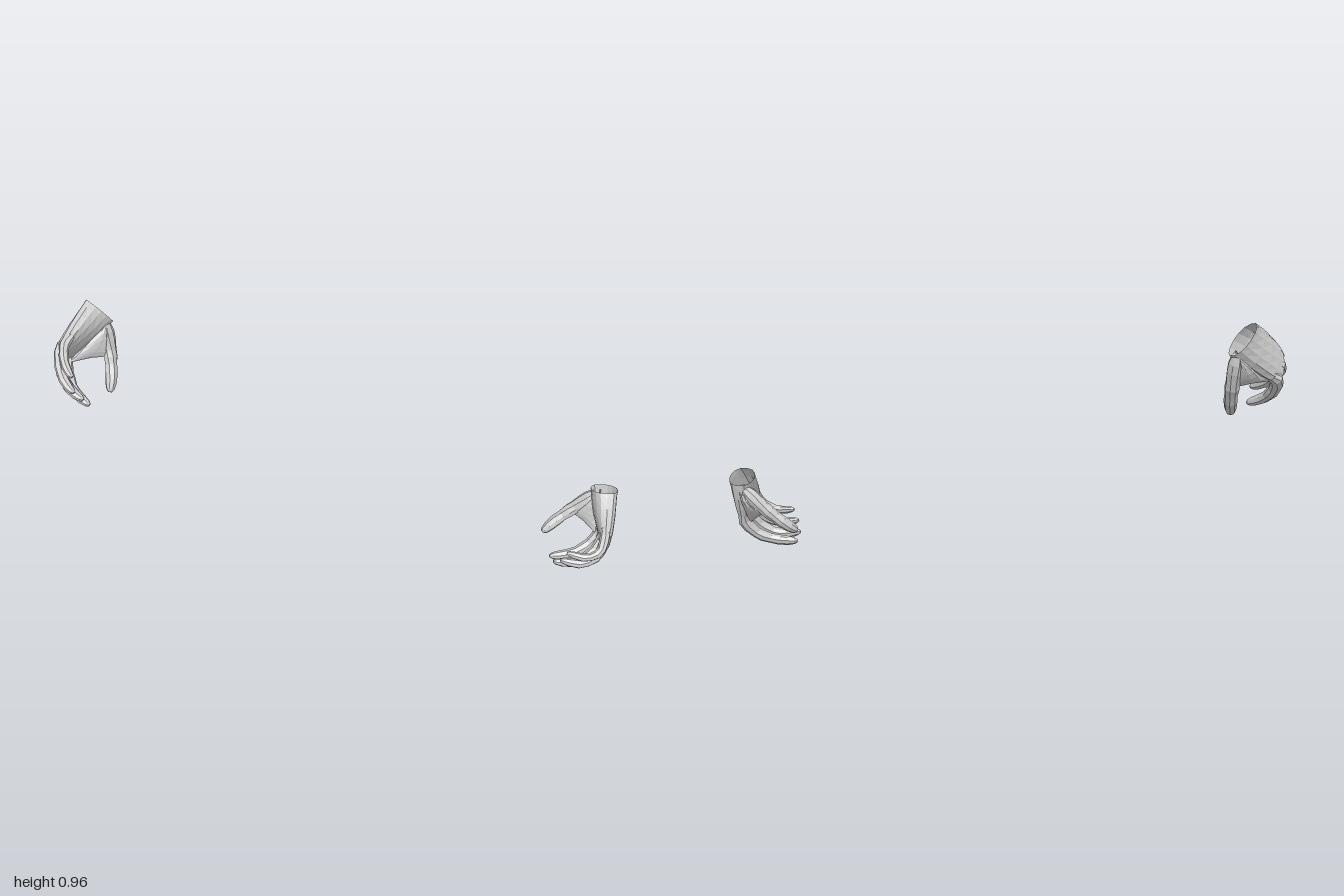
import * as THREE from 'three';

const V = (p) => new THREE.Vector3(...p);
const lerp = (a, b, t) => a.clone().lerp(b, t);
const material = new THREE.MeshStandardMaterial({ color: 0xcccccc, flatShading: true, side: THREE.DoubleSide });

// Skin a surface over rings of equal point count and close the last ring
function skin(name, rings) {
  const n = rings[0].length, pos = [], index = [];
  const last = rings[rings.length - 1];
  const c = last.reduce((s, p) => s.add(p), new THREE.Vector3()).divideScalar(n);
  const all = [...rings, last.map(() => c)];
  all.forEach((r) => r.forEach((p) => pos.push(p.x, p.y, p.z)));
  for (let i = 0; i < all.length - 1; i++) {
    for (let j = 0; j < n; j++) {
      const a = i * n + j, b = i * n + (j + 1) % n;
      index.push(a, b, a + n, b, b + n, a + n);
    }
  }
  const g = new THREE.BufferGeometry();
  g.setAttribute('position', new THREE.Float32BufferAttribute(pos, 3));
  g.setIndex(index);
  g.computeVertexNormals();
  const mesh = new THREE.Mesh(g, material);
  mesh.name = name;
  return mesh;
}

// Oval ring spanning two edge points, arched in its middle by a bulge vector
function oval(a, b, normal, thick, bulge, sides = 14) {
  const c = lerp(a, b, 0.5), w = b.clone().sub(c), ring = [];
  for (let j = 0; j < sides; j++) {
    const t = (j / sides) * Math.PI * 2, u = Math.cos(t), s = Math.sin(t);
    ring.push(c.clone().addScaledVector(w, u)
      .addScaledVector(normal, thick * Math.sign(s) * Math.abs(s) ** 0.8)
      .addScaledVector(bulge, 1 - u * u));
  }
  return ring;
}

// Jointed, tapering digit along a smooth path
const TAPER = [[0, 0.8], [0.12, 1.08], [0.24, 1.08], [0.38, 0.96], [0.48, 1.02], [0.6, 0.88], [0.72, 0.92], [0.86, 0.82], [0.95, 0.6], [0.99, 0.28]];
function digit(name, points, radius, side) {
  const curve = new THREE.CatmullRomCurve3(points, false, 'centripetal');
  const rings = TAPER.map(([t, k]) => {
    const c = curve.getPointAt(t), tan = curve.getTangentAt(t);
    const n = new THREE.Vector3().crossVectors(tan, side).normalize();
    const w = new THREE.Vector3().crossVectors(n, tan).normalize().multiplyScalar(radius * k);
    return oval(c.clone().sub(w), c.clone().add(w), n, radius * k, new THREE.Vector3(), 8);
  });
  return skin(name, rings);
}

function buildHand(name, pose) {
  const hand = new THREE.Group();
  hand.name = name;
  const [wristLittle, wristIndex] = pose.wrist.map(V);
  const fingers = pose.fingers.map((f) => f.map(V)); // index to little
  const thumb = pose.thumb.map(V);
  const [kI, kM, kR, kL] = fingers.map((f) => f[0]);
  const [rI, rM, rR, rL] = fingers.map((f) => lerp(f[0], f[1], 0.3));
  const across = kL.clone().sub(kI).normalize();
  const along = lerp(kI, kL, 0.5).sub(lerp(wristLittle, wristIndex, 0.5)).normalize();
  const normal = new THREE.Vector3().crossVectors(along, across).normalize();
  const archOf = (i, m, r, l) => lerp(m, r, 0.5).sub(lerp(i, l, 0.5));

  // Palm, open at the wrist and arched at the knuckles
  const edgeI = kI.clone().addScaledVector(across, -0.016);
  const edgeL = kL.clone().addScaledVector(across, 0.014);
  const arch = archOf(kI, kM, kR, kL);
  const palm = [[0, 1], [0.12, 0.93], [0.35, 0.87], [0.6, 0.78], [0.82, 0.64], [1, 0.5]].map(([t, k]) => {
    const swell = 0.007 * Math.sin(Math.PI * t);
    const a = lerp(wristIndex, edgeI, t).addScaledVector(across, -swell);
    const b = lerp(wristLittle, edgeL, t).addScaledVector(across, swell);
    return oval(a, b, normal, pose.thickness * k, arch.clone().multiplyScalar(t * t));
  });
  // Flesh between the finger roots
  palm.push(oval(rI, rL, normal, pose.thickness * 0.27, archOf(rI, rM, rR, rL)));
  hand.add(skin('palm', palm));

  // Fingers, rooted inside the palm
  const names = ['indexFinger', 'middleFinger', 'ringFinger', 'littleFinger'];
  const radii = [0.0205, 0.0205, 0.019, 0.0165];
  fingers.forEach((f, i) => {
    const root = f[0].clone().addScaledVector(along, -0.035);
    hand.add(digit(names[i], [root, ...f], radii[i], across));
  });

  hand.add(digit('thumb', thumb, 0.0245, normal));

  // Flesh at the thumb's base, thinning to a web beside the index finger
  const curve = new THREE.CatmullRomCurve3(thumb.slice(0, 3));
  const web = [[0.1, 0.026], [0.3, 0.032], [0.5, 0.03], [0.7, 0.024], [0.87, 0.017], [1, 0.008]].map(([t, thick]) => {
    const a = curve.getPoint(t * 0.64);
    const b = lerp(wristIndex, rI, t).addScaledVector(across, 0.012);
    const flat = new THREE.Vector3().crossVectors(b.clone().sub(a), along).normalize();
    return oval(a, b, flat, thick, along.clone().multiplyScalar(-0.016 * t * t), 12);
  });
  hand.add(skin('thumbWeb', web));
  return hand;
}

// Joint positions: wrist edges (little side, index side), fingers knuckle to tip
const rightPose = {
  thickness: 0.042,
  wrist: [[-0.885, 0.958, -0.092], [-0.845, 0.865, -0.147]],
  fingers: [
    [[-0.975, 0.768, -0.028], [-0.958, 0.713, 0.026], [-0.925, 0.68, 0.066], [-0.875, 0.655, 0.093]],
    [[-0.98, 0.808, 0.005], [-0.965, 0.762, 0.065], [-0.928, 0.725, 0.108], [-0.88, 0.703, 0.132]],
    [[-0.97, 0.842, 0.028], [-0.96, 0.8, 0.088], [-0.935, 0.768, 0.13], [-0.9, 0.745, 0.155]],
    [[-0.948, 0.87, 0.04], [-0.945, 0.842, 0.08], [-0.93, 0.818, 0.112], [-0.905, 0.798, 0.14]],
  ],
  thumb: [[-0.853, 0.86, -0.12], [-0.84, 0.765, -0.097], [-0.833, 0.7, -0.062], [-0.832, 0.64, -0.013]],
};
const leftPose = {
  thickness: 0.048,
  wrist: [[0.953, 0.306, -0.03], [0.942, 0.268, -0.132]],
  fingers: [
    [[0.955, 0.105, -0.066], [0.912, 0.05, -0.04], [0.85, 0.025, -0.015], [0.77, 0.02, 0.002]],
    [[0.965, 0.128, -0.022], [0.925, 0.062, 0.015], [0.86, 0.03, 0.038], [0.78, 0.04, 0.053]],
    [[0.965, 0.148, 0.018], [0.94, 0.09, 0.058], [0.885, 0.06, 0.078], [0.8, 0.075, 0.083]],
    [[0.955, 0.168, 0.045], [0.94, 0.125, 0.083], [0.895, 0.105, 0.096], [0.82, 0.115, 0.088]],
  ],
  thumb: [[0.925, 0.245, -0.104], [0.852, 0.178, -0.1], [0.795, 0.13, -0.086], [0.74, 0.083, -0.058]],
};

export function createModel() {
  const model = new THREE.Group();
  model.name = 'pairOfHands';
  model.add(buildHand('rightHand', rightPose), buildHand('leftHand', leftPose));
  return model;
}
